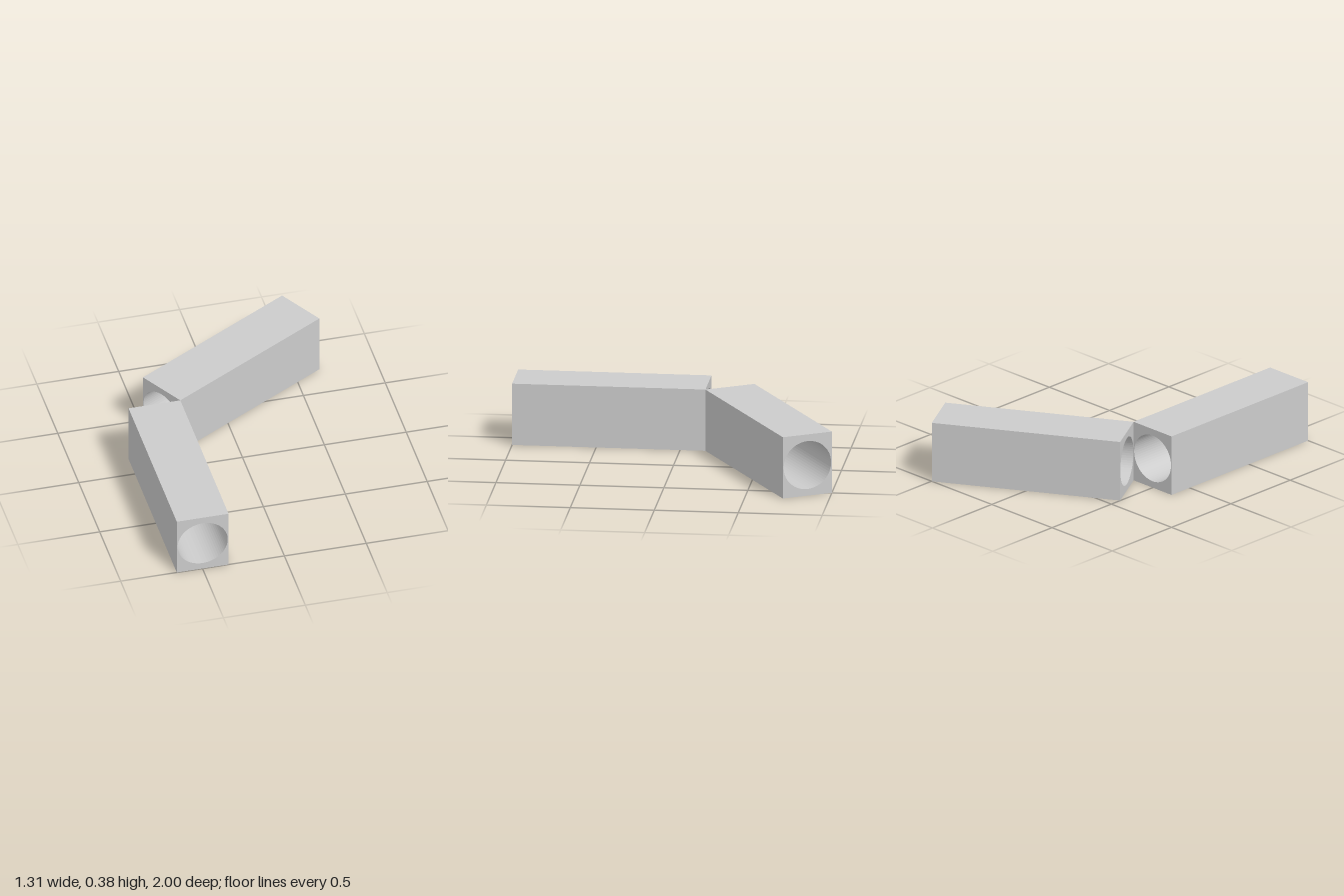
import * as THREE from 'three';

const WIDTH = 0.316, HEIGHT = 0.376, LENGTH = 1.151;
const BORE_RX = 0.153, BORE_RY = 0.147;

// Square block with an oval bore running through its full length.
// side = -1 or +1 chooses which way the block extends from the hinge edge.
function tubeBlock(name, side, material) {
  const cx = side * WIDTH / 2, cy = HEIGHT / 2;
  const x0 = cx - WIDTH / 2, x1 = cx + WIDTH / 2;
  const section = new THREE.Shape([
    new THREE.Vector2(x0, 0), new THREE.Vector2(x1, 0),
    new THREE.Vector2(x1, HEIGHT), new THREE.Vector2(x0, HEIGHT),
  ]);
  const bore = new THREE.Path();
  bore.absellipse(cx, cy, BORE_RX, BORE_RY, 0, Math.PI * 2, true);
  section.holes.push(bore);
  const geometry = new THREE.ExtrudeGeometry(section, {
    depth: LENGTH, bevelEnabled: false, curveSegments: 32,
  });
  const mesh = new THREE.Mesh(geometry, material);
  mesh.name = name;
  return mesh;
}

export function createModel() {
  const model = new THREE.Group();
  model.name = 'hingedTubeBlocks';
  const material = new THREE.MeshStandardMaterial({ color: 0xcccccc });

  // Both blocks meet along one vertical edge
  const hinge = new THREE.Group();
  hinge.name = 'hinge';
  hinge.position.set(-0.341, 0, -0.151);
  model.add(hinge);

  // Front block points straight forward
  hinge.add(tubeBlock('frontBlock', -1, material));

  // Rear block swings 120 degrees about the shared edge
  const rear = tubeBlock('rearBlock', 1, material);
  rear.rotation.y = THREE.MathUtils.degToRad(120);
  hinge.add(rear);

  return model;
}
